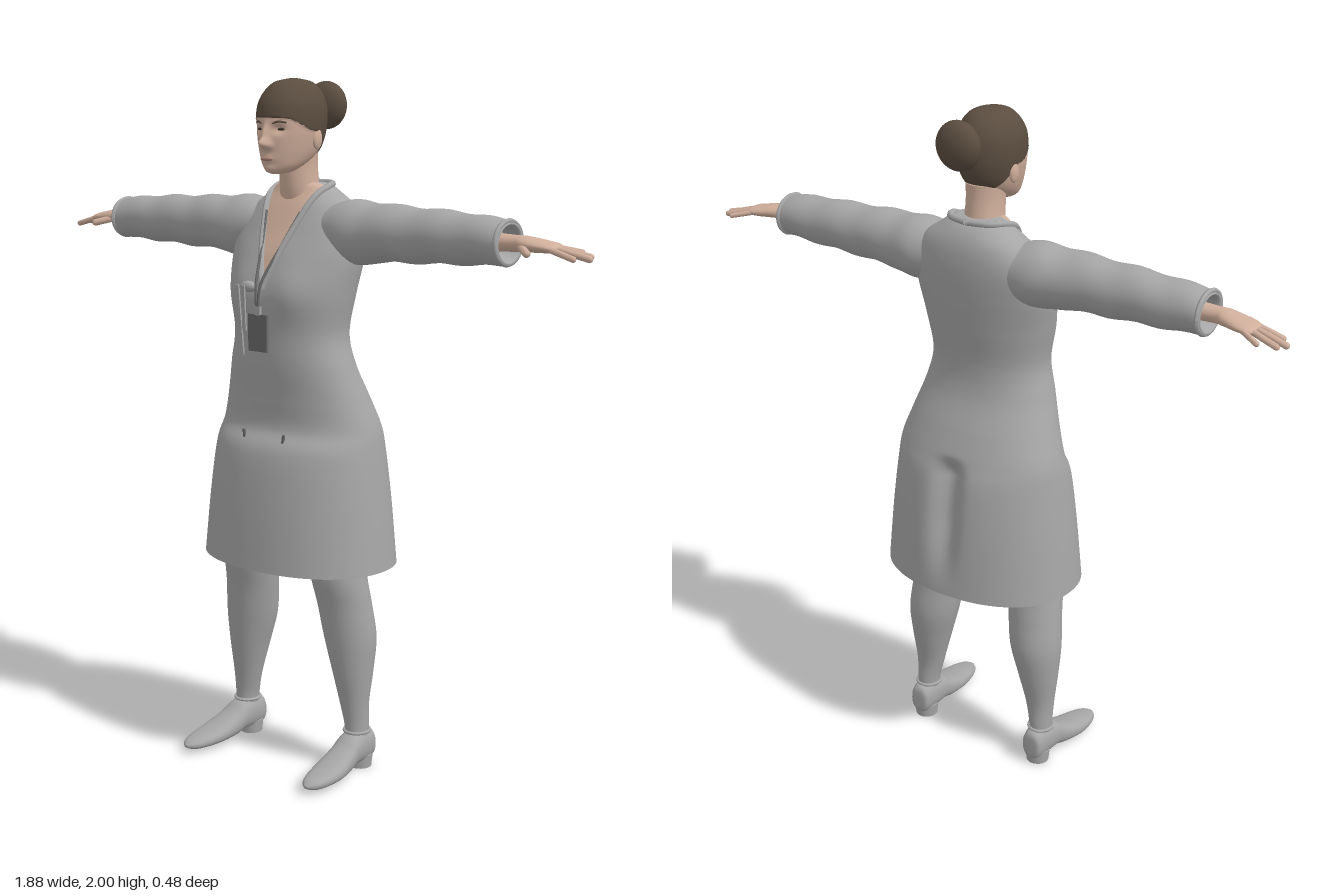
import * as THREE from 'three';

const paint = (name, color) => Object.assign(new THREE.MeshStandardMaterial({ color }), { name });
const AXES = { x: ['z', 'y'], y: ['x', 'z'], z: ['y', 'x'] };
const bell = (d, w) => Math.exp(-(d * d) / (w * w));
const ramp = THREE.MathUtils.smoothstep;

// Smoothly interpolated ring at u in 0..1
function ringAt(rings, u) {
  const f = u * (rings.length - 1), i = Math.min(Math.floor(f), rings.length - 2), t = f - i;
  const at = k => rings[THREE.MathUtils.clamp(k, 0, rings.length - 1)];
  return rings[0].map((_, c) => {
    const [a, b, d, e] = [at(i - 1)[c], at(i)[c], at(i + 1)[c], at(i + 2)[c]];
    return b + 0.5 * t * (d - a + t * (2 * a - 5 * b + 4 * d - e + t * (3 * (b - d) + e - a)));
  });
}

// Skin over rings [position, centreA, centreB, radiusA, radiusB] along an axis
function loft(axis, rings, { seg = 28, steps = 30, power = 2, cap = true, deform } = {}) {
  const [A, B] = AXES[axis], pos = [], idx = [];
  const push = p => pos.push(p.x, p.y, p.z);
  const round = v => Math.sign(v) * Math.abs(v) ** (2 / power);
  for (let i = 0; i <= steps; i++) {
    const [t, a, b, ra, rb] = ringAt(rings, i / steps);
    for (let j = 0; j < seg; j++) {
      const q = j / seg * Math.PI * 2, p = new THREE.Vector3();
      p[axis] = t;
      p[A] = a + ra * round(Math.cos(q));
      p[B] = b + rb * round(Math.sin(q));
      if (deform) deform(p);
      push(p);
    }
  }
  for (let i = 0; i < steps; i++) for (let j = 0; j < seg; j++) {
    const a = i * seg + j, b = i * seg + (j + 1) % seg;
    idx.push(a, a + seg, b, b, a + seg, b + seg);
  }
  if (cap) [0, steps].forEach(i => {
    const r = rings[i ? rings.length - 1 : 0], p = new THREE.Vector3(), c = pos.length / 3;
    p[axis] = r[0]; p[A] = r[1]; p[B] = r[2];
    push(p);
    for (let j = 0; j < seg; j++) {
      const a = i * seg + j, b = i * seg + (j + 1) % seg;
      idx.push(...(i ? [c, b, a] : [c, a, b]));
    }
  });
  const g = new THREE.BufferGeometry();
  g.setAttribute('position', new THREE.Float32BufferAttribute(pos, 3));
  g.setIndex(idx);
  g.computeVertexNormals();
  return g;
}

// Put faces that meet a rule into material group 1, the rest into group 0
function split(g, rule) {
  const sets = [[], []], p = g.attributes.position, id = g.index.array;
  for (let i = 0; i < id.length; i += 3) {
    const m = new THREE.Vector3();
    for (let k = 0; k < 3; k++) m.add(new THREE.Vector3().fromBufferAttribute(p, id[i + k]));
    sets[rule(m.divideScalar(3)) ? 1 : 0].push(id[i], id[i + 1], id[i + 2]);
  }
  g.setIndex([...sets[0], ...sets[1]]);
  g.addGroup(0, sets[0].length, 0);
  g.addGroup(sets[0].length, sets[1].length, 1);
  return g;
}

function mirrored(g) {
  const m = g.clone().scale(-1, 1, 1), id = m.index.array;
  for (let i = 0; i < id.length; i += 3) [id[i], id[i + 1]] = [id[i + 1], id[i]];
  m.computeVertexNormals();
  return m;
}

const ball = (x, y, z, rx, ry, rz) => new THREE.SphereGeometry(1, 28, 20).scale(rx, ry, rz).translate(x, y, z);
const tube = (pts, r) => new THREE.TubeGeometry(
  new THREE.CatmullRomCurve3(pts.map(p => new THREE.Vector3(...p))), 40, r, 8);
function finger(a, b, r) {
  const A = new THREE.Vector3(...a), B = new THREE.Vector3(...b), d = B.clone().sub(A);
  const q = new THREE.Quaternion().setFromUnitVectors(new THREE.Vector3(0, 1, 0), d.clone().normalize());
  const m = A.add(B).multiplyScalar(0.5);
  return new THREE.CapsuleGeometry(r, d.length(), 5, 10).applyQuaternion(q).translate(m.x, m.y, m.z);
}

// Coat rings: height, centre x, centre z, half width, half depth
const coatRings = [
  [0.615, 0.305, 0.21, -0.24], [0.8, 0.287, 0.195, -0.227], [0.95, 0.27, 0.172, -0.207],
  [1.02, 0.258, 0.135, -0.185], [1.1, 0.232, 0.135, -0.155], [1.2, 0.2, 0.145, -0.115],
  [1.29, 0.18, 0.148, -0.105], [1.4, 0.197, 0.152, -0.12], [1.5, 0.213, 0.122, -0.133],
  [1.58, 0.21, 0.082, -0.138], [1.64, 0.17, 0.052, -0.132], [1.68, 0.115, 0.03, -0.115],
  [1.705, 0.08, 0.02, -0.09], [1.71, 0.05, 0.01, -0.06],
].map(([y, w, f, b]) => [y, 0, (f + b) / 2, w, (f - b) / 2]);

// Front surface of the coat at x, y
function coatFront(x, y) {
  let lo = 0, hi = 1;
  for (let i = 0; i < 24; i++) { const m = (lo + hi) / 2; if (ringAt(coatRings, m)[0] < y) lo = m; else hi = m; }
  const [, , cz, rx, rz] = ringAt(coatRings, lo);
  return cz + rz * Math.max(0, 1 - Math.abs(x / rx) ** 2.2) ** (1 / 2.2);
}

const hairLine = p => p.y > 1.775 + 0.08 * ramp(p.z, -0.06, 0.03) + 0.035 * ramp(p.z, 0.03, 0.12);

export function createModel() {
  const cloth = paint('grey cloth', 0xa6a6a6), skin = paint('skin', 0xcfae9b), hair = paint('brown hair', 0x5b4d40);
  const dark = paint('dark grey', 0x6a6a6a), lip = paint('lips', 0xb08878), iris = paint('eyes', 0x3c322c);
  cloth.side = THREE.DoubleSide;
  const model = new THREE.Group();
  const add = (name, g, m) => {
    const mesh = new THREE.Mesh(g, m);
    mesh.name = name;
    model.add(mesh);
    return mesh;
  };
  const pair = (name, g, m) => { add(name + 'Left', g, m); add(name + 'Right', mirrored(g), m); };

  // Coat with open neckline, bust and back pleat
  const coat = loft('y', coatRings, {
    seg: 160, steps: 150, power: 2.2, cap: false,
    deform: p => {
      if (p.z > 0) p.z += 0.012 * bell(Math.abs(p.x) - 0.09, 0.06) * bell(p.y - 1.42, 0.07);
      else if (p.z < -0.05) p.z += 0.04 * bell(p.x, 0.04) * ramp(p.y, 0.62, 0.85) * (1 - ramp(p.y, 0.97, 1.04));
    },
  });
  add('coat', split(coat, p => p.z > -0.02 && p.y > 1.42 && Math.abs(p.x) < (p.y - 1.42) * 0.32), [cloth, skin]);

  // Collar, following the neckline and round the nape
  const edge = [1.42, 1.48, 1.54, 1.6, 1.65, 1.68].map(y => [(y - 1.42) * 0.33, y, coatFront((y - 1.42) * 0.33, y) + 0.002]);
  pair('collar', tube([...edge, [0.09, 1.7, -0.035], [0.065, 1.705, -0.08], [0, 1.705, -0.1]], 0.0095), cloth);

  // Lanyard, badge and hanging tie ends
  pair('lanyard', tube([[0.062, 1.63, coatFront(0.062, 1.63) + 0.006], [0.035, 1.54, coatFront(0.035, 1.54) + 0.006],
    [0.008, 1.43, 0.168], [0.002, 1.35, 0.172]], 0.004), dark);
  add('badge', new THREE.BoxGeometry(0.068, 0.105, 0.009).translate(0.002, 1.297, 0.17), dark);
  add('badgeClip', new THREE.BoxGeometry(0.02, 0.025, 0.008).translate(0.002, 1.36, 0.172), cloth);
  add('tieKnot', ball(-0.035, 1.425, 0.168, 0.028, 0.016, 0.014), cloth);
  [[-0.06, 0.2, 0.02], [-0.045, 0.13, -0.03]].forEach(([x, h, tilt], i) =>
    add('tieEnd' + i, new THREE.BoxGeometry(0.012, h, 0.006).rotateX(0.08).rotateZ(tilt).translate(x, 1.43 - h / 2, 0.178), cloth));

  // Small pocket slits
  pair('pocketSlit', new THREE.BoxGeometry(0.007, 0.04, 0.006).rotateZ(-0.15)
    .translate(0.072, 0.99, coatFront(0.072, 0.99)), dark);

  // Sleeves with turned-in cuffs
  pair('sleeve', loft('x', [
    [0.08, -0.03, 1.59, 0.07, 0.06], [0.19, -0.027, 1.575, 0.092, 0.09], [0.28, -0.022, 1.58, 0.084, 0.082],
    [0.4, -0.02, 1.58, 0.075, 0.076], [0.55, -0.02, 1.58, 0.07, 0.07], [0.67, -0.018, 1.577, 0.067, 0.062],
    [0.705, -0.017, 1.577, 0.062, 0.056], [0.7, -0.017, 1.577, 0.05, 0.045], [0.66, -0.017, 1.577, 0.04, 0.035],
  ], { steps: 56, seg: 36, deform: p => { p.y += 0.003 * Math.sin(p.x * 42 + p.z * 14); } }), cloth);
  pair('cuff', new THREE.TorusGeometry(0.06, 0.007, 8, 36).rotateY(Math.PI / 2).scale(1, 0.95, 1.05)
    .translate(0.7, 1.577, -0.017), cloth);

  // Hands
  pair('palm', loft('x', [
    [0.64, -0.017, 1.577, 0.028, 0.026], [0.72, -0.017, 1.577, 0.026, 0.022], [0.755, -0.02, 1.577, 0.036, 0.021],
    [0.8, -0.028, 1.573, 0.042, 0.017], [0.833, -0.032, 1.57, 0.04, 0.013], [0.848, -0.033, 1.568, 0.025, 0.006],
  ]), skin);
  [[[0.82, 1.57, -0.064], [0.876, 1.558, -0.094], 0.0075], [[0.83, 1.57, -0.047], [0.917, 1.55, -0.066], 0.0085],
    [[0.83, 1.57, -0.026], [0.93, 1.547, -0.037], 0.009], [[0.825, 1.57, -0.004], [0.903, 1.548, -0.001], 0.0085],
    [[0.745, 1.572, -0.002], [0.79, 1.558, 0.037], 0.0105]]
    .forEach((f, i) => pair(['littleFinger', 'ringFinger', 'middleFinger', 'indexFinger', 'thumb'][i], finger(...f), skin));

  // Neck and head, with the hair cap as part of the head surface
  add('neck', loft('y', [[1.62, 0, -0.03, 0.068, 0.06], [1.69, 0, -0.015, 0.056, 0.06],
    [1.75, 0, -0.008, 0.052, 0.06], [1.8, 0, -0.005, 0.055, 0.062]]), skin);
  const head = loft('y', [
    [1.736, 0, 0.082, 0.012, 0.018], [1.742, 0, 0.073, 0.034, 0.038], [1.757, 0, 0.06, 0.052, 0.06],
    [1.78, 0, 0.042, 0.066, 0.084], [1.81, 0, 0.03, 0.077, 0.1], [1.85, 0, 0.024, 0.085, 0.109],
    [1.89, 0, 0.021, 0.088, 0.11], [1.93, 0, 0.019, 0.084, 0.104], [1.965, 0, 0.016, 0.068, 0.085],
    [1.988, 0, 0.014, 0.044, 0.056], [1.998, 0, 0.014, 0.004, 0.005],
  ], {
    seg: 128, steps: 120,
    deform: p => {
      if (hairLine(p)) { p.x *= 1.03; p.z = 0.02 + (p.z - 0.02) * 1.03; return; }
      if (p.z < 0.06) return;
      const ax = Math.abs(p.x);
      p.z += 0.026 * bell(p.x, 0.013) * bell(p.y - 1.82, 0.014) + 0.014 * bell(p.x, 0.01) * bell(p.y - 1.845, 0.025)
        + 0.006 * bell(ax - 0.013, 0.008) * bell(p.y - 1.814, 0.008) - 0.011 * bell(ax - 0.034, 0.017) * bell(p.y - 1.859, 0.013)
        + 0.006 * bell(p.x, 0.022) * bell(p.y - 1.778, 0.013) + 0.01 * bell(p.x, 0.022) * bell(p.y - 1.748, 0.014);
    },
  });
  add('head', split(head, hairLine), [skin, hair]);
  add('hairBun', ball(0, 1.922, -0.132, 0.068, 0.068, 0.042), hair);
  pair('ear', ball(0.081, 1.832, 0.008, 0.01, 0.03, 0.018), skin);
  pair('eye', ball(0.034, 1.859, 0.11, 0.014, 0.0045, 0.007), iris);
  pair('eyebrow', tube([[0.014, 1.873, 0.127], [0.035, 1.88, 0.121], [0.054, 1.877, 0.107]], 0.0032), hair);
  add('lips', ball(0, 1.778, 0.129, 0.022, 0.0065, 0.007), lip);

  // Legs
  pair('leg', loft('y', [
    [0.04, 0.215, -0.015, 0.033, 0.04], [0.12, 0.215, -0.02, 0.034, 0.038], [0.2, 0.208, -0.016, 0.044, 0.042],
    [0.3, 0.2, -0.017, 0.062, 0.06], [0.4, 0.19, -0.017, 0.079, 0.074], [0.5, 0.178, -0.005, 0.083, 0.075],
    [0.6, 0.165, 0.01, 0.085, 0.08], [0.75, 0.14, 0, 0.088, 0.09], [0.97, 0.11, -0.01, 0.1, 0.11],
  ], { steps: 48 }), cloth);

  // Pointed shoes with low heels
  pair('shoe', loft('z', [
    [-0.078, 0.06, 0.215, 0.02, 0.016], [-0.07, 0.065, 0.215, 0.045, 0.032], [-0.02, 0.07, 0.216, 0.052, 0.041],
    [0.025, 0.065, 0.218, 0.045, 0.043], [0.06, 0.05, 0.221, 0.038, 0.046], [0.12, 0.036, 0.227, 0.027, 0.05],
    [0.18, 0.029, 0.231, 0.02, 0.042], [0.22, 0.026, 0.233, 0.014, 0.027], [0.24, 0.025, 0.234, 0.004, 0.007],
  ], { steps: 40, power: 2.3 }), cloth);
  pair('heel', new THREE.CylinderGeometry(0.038, 0.034, 0.04, 24).translate(0.215, 0.02, -0.036), cloth);
  pair('shoeCollar', new THREE.TorusGeometry(0.036, 0.005, 8, 28).rotateX(Math.PI / 2).scale(1, 1, 1.08)
    .translate(0.215, 0.116, -0.02), cloth);
  return model;
}
